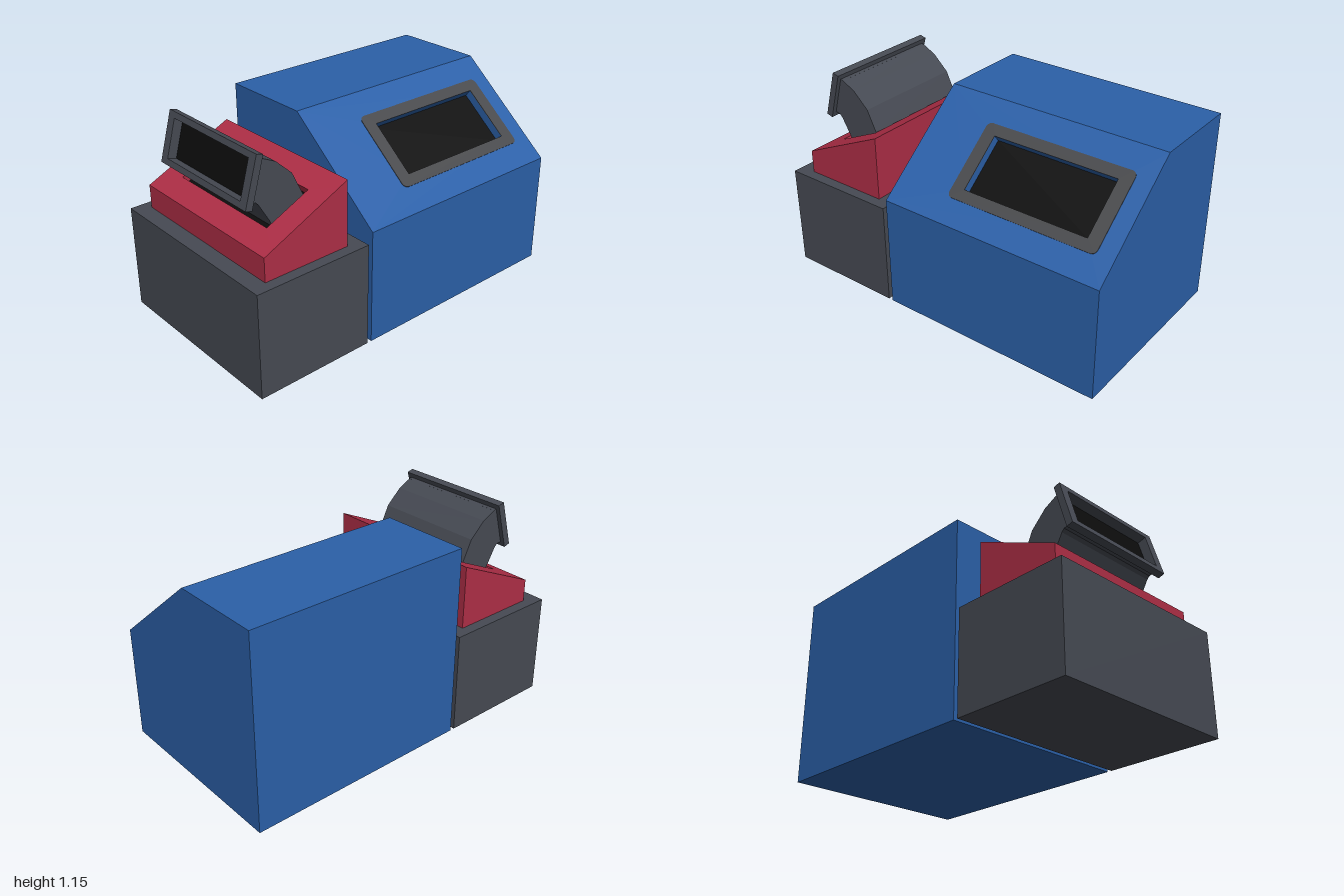
import * as THREE from 'three';

const mat = (name, color) => {
  const m = new THREE.MeshStandardMaterial({ color });
  m.name = name;
  return m;
};

const shapeOf = (pts) => new THREE.Shape(pts.map(([x, y]) => new THREE.Vector2(x, y)));

// Rectangle outline with optional rounded corners
function rect(w, h, cx = 0, cy = 0, r = 0) {
  if (!r) {
    return shapeOf([[cx - w / 2, cy - h / 2], [cx + w / 2, cy - h / 2], [cx + w / 2, cy + h / 2], [cx - w / 2, cy + h / 2]]);
  }
  const s = new THREE.Shape(), a = w / 2 - r, b = h / 2 - r;
  [[a, b], [-a, b], [-a, -b], [a, -b]].forEach(([x, y], i) =>
    s.absarc(cx + x, cy + y, r, i * Math.PI / 2, (i + 1) * Math.PI / 2, false));
  return s;
}

const extrude = (shape, depth) =>
  new THREE.ExtrudeGeometry(shape, { depth, bevelEnabled: false, curveSegments: 4 });

// Plate with an opening, lying between z = top - depth and z = top
function frame(outer, hole, depth, top = 0) {
  outer.holes.push(hole);
  return extrude(outer, depth).translate(0, 0, top - depth);
}

// (z, y) profile swept across the width in x
const sideSweep = (pts, width) =>
  extrude(shapeOf(pts), width).translate(0, 0, -width / 2).rotateY(-Math.PI / 2);

export function createModel() {
  const model = new THREE.Group();
  const blue = mat('blue', 0x2b60a8);
  const red = mat('red', 0xae2e46);
  const slate = mat('slate grey', 0x464a53);
  const grey = mat('frame grey', 0x48494c);
  const black = mat('black', 0x0c0c0c);
  const add = (parent, name, geometry, material) => {
    const mesh = new THREE.Mesh(geometry, material);
    mesh.name = name;
    parent.add(mesh);
    return mesh;
  };
  const depth = 0.05;

  // Large cabinet: body cut back below the slope, then the slope panel with its opening
  const cabinet = new THREE.Group();
  cabinet.name = 'cabinet';
  model.add(cabinet);
  const len = Math.hypot(0.57, 0.46);
  const n = [0.46 / len, 0.57 / len];
  add(cabinet, 'cabinetBody', extrude(shapeOf([
    [-0.55, 0], [0.55, 0], [0.55, 0.64],
    [0.55 - n[0] * depth, 0.64 - n[1] * depth],
    [-0.02 - n[0] * depth, 1.1 - n[1] * depth],
    [-0.02, 1.1], [-0.55, 1.1],
  ]), 1.3).translate(0, 0, -1), blue);

  const slope = new THREE.Group();
  slope.name = 'cabinetSlope';
  slope.position.set(0.265, 0.87, -0.35);
  slope.quaternion.setFromRotationMatrix(new THREE.Matrix4().makeBasis(
    new THREE.Vector3(n[1], -n[0], 0), new THREE.Vector3(0, 0, -1), new THREE.Vector3(n[0], n[1], 0)));
  cabinet.add(slope);
  const opening = () => rect(0.32, 0.73, 0, 0.113);
  add(slope, 'slopePanel', frame(rect(len, 1.3), opening(), depth), blue);
  add(slope, 'openingFrame', frame(rect(0.447, 0.88, 0, 0.113, 0.03), opening(), 0.004, 0.003), grey);
  add(slope, 'openingFloor', new THREE.BoxGeometry(0.32, 0.73, 0.004).translate(0, 0.113, -depth + 0.002), black);

  // Front plinth
  add(model, 'plinth', new THREE.BoxGeometry(1.1, 0.58, 0.675).translate(0, 0.29, 0.6625), slate);

  // Red wedge with a socket cut into its sloping top
  const wedge = new THREE.Group();
  wedge.name = 'wedge';
  model.add(wedge);
  const wLen = Math.hypot(0.5, 0.23);
  const wn = [0.23 / wLen, 0.5 / wLen];
  const onSlope = (z, down = 0) => [z - wn[0] * down, 0.71 + (0.91 - z) * 0.46 - wn[1] * down];
  add(wedge, 'wedgeBody', sideSweep([
    [0.41, 0.58], [0.91, 0.58], [0.91, 0.71],
    onSlope(0.865), onSlope(0.865, depth), onSlope(0.465, depth), onSlope(0.465), [0.41, 0.94],
  ], 0.98), red);
  const socket = new THREE.Group();
  socket.name = 'wedgeTop';
  const [sz, sy] = onSlope(0.665);
  socket.position.set(0, sy, sz);
  socket.rotation.x = -Math.atan2(wn[1], wn[0]);
  wedge.add(socket);
  add(socket, 'socketPanel', frame(rect(0.98, 0.4 / wn[1]), rect(0.71, 0.275), depth), red);
  add(socket, 'socketFloor', new THREE.BoxGeometry(0.71, 0.275, 0.004).translate(0, 0, -depth + 0.002), black);

  // Curved duct rising from the socket
  add(model, 'duct', sideSweep([
    [0.733, 0.735], [0.754, 0.78], [0.813, 0.882], [0.828, 0.898], [0.844, 0.901],
    [0.784, 1.109], [0.706, 1.07], [0.615, 0.984], [0.561, 0.871], [0.54, 0.826],
  ], 0.66), slate);

  // Tilted mouth of the duct: flange, short sleeve and dark inside
  const mouth = new THREE.Group();
  mouth.name = 'ductMouth';
  mouth.position.set(0, 1.02, 0.867);
  mouth.rotation.x = -0.278;
  model.add(mouth);
  add(mouth, 'flange', frame(rect(0.71, 0.273), rect(0.61, 0.208), 0.039), slate);
  add(mouth, 'sleeve', frame(rect(0.66, 0.217), rect(0.61, 0.208), 0.017, -0.039), slate);
  add(mouth, 'mouthInside', new THREE.BoxGeometry(0.61, 0.208, 0.004).translate(0, 0, -0.053), black);

  return model;
}
